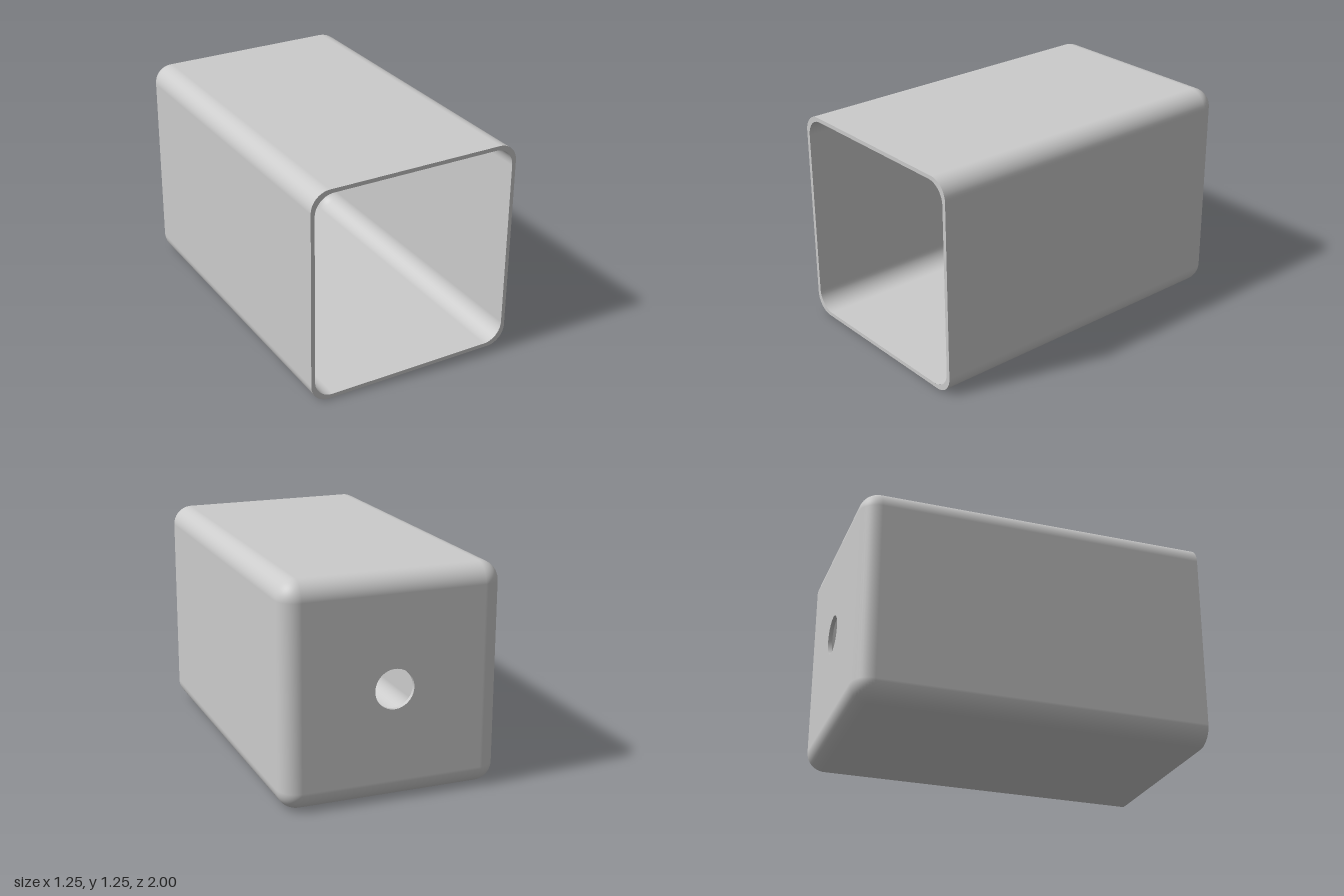
import * as THREE from 'three';

const HALF = 0.6225, WALL = 0.0225, FILLET = 0.11, HOLE = 0.111;
const FRONT = 1, BACK = -1, ARC = 12;
const material = new THREE.MeshStandardMaterial({ color: 0xcccccc });

// Rounded-square sleeve, open at the front, with a filleted edge at the back.
function sleeveGeometry(half, backZ, inward) {
  const core = half - FILLET, pos = [], nor = [], index = [];
  const rows = [{ z: FRONT, a: 0 }];
  for (let j = 0; j <= ARC; j++) {
    const a = (j / ARC) * Math.PI / 2;
    rows.push({ z: backZ + FILLET * (1 - Math.sin(a)), a });
  }
  const sign = inward ? -1 : 1;
  const count = 4 * (ARC + 1);
  for (const { z, a } of rows) {
    for (let k = 0; k < 4; k++) {
      const cx = k === 0 || k === 3 ? core : -core, cy = k < 2 ? core : -core;
      for (let i = 0; i <= ARC; i++) {
        const t = (k + i / ARC) * Math.PI / 2;
        const nx = Math.cos(t) * Math.cos(a), ny = Math.sin(t) * Math.cos(a);
        pos.push(cx + FILLET * nx, cy + FILLET * ny, z);
        nor.push(sign * nx, sign * ny, -sign * Math.sin(a));
      }
    }
  }
  for (let j = 0; j < rows.length - 1; j++) {
    for (let i = 0; i < count; i++) {
      const n = (i + 1) % count;
      const a = j * count + i, b = j * count + n, c = a + count, d = b + count;
      if (inward) index.push(a, b, c, b, d, c);
      else index.push(a, c, b, b, c, d);
    }
  }
  const g = new THREE.BufferGeometry();
  g.setAttribute('position', new THREE.Float32BufferAttribute(pos, 3));
  g.setAttribute('normal', new THREE.Float32BufferAttribute(nor, 3));
  g.setIndex(index);
  return g;
}

function roundedSquare(path, half) {
  const c = half - FILLET;
  for (let k = 0; k < 4; k++) {
    const cx = k === 0 || k === 3 ? c : -c, cy = k < 2 ? c : -c;
    path.absarc(cx, cy, FILLET, k * Math.PI / 2, (k + 1) * Math.PI / 2, false);
  }
  path.closePath();
  return path;
}

// Flat square end panel with the round hole.
function panelGeometry(half) {
  const c = half - FILLET;
  const shape = new THREE.Shape().moveTo(-c, -c).lineTo(c, -c).lineTo(c, c).lineTo(-c, c).closePath();
  shape.holes.push(new THREE.Path().absarc(0, 0, HOLE, 0, Math.PI * 2, true));
  return new THREE.ShapeGeometry(shape, 48);
}

export function createModel() {
  const group = new THREE.Group();
  group.name = 'openBox';
  const add = (name, geometry, z = 0) => {
    const mesh = new THREE.Mesh(geometry, material);
    mesh.name = name;
    mesh.position.set(0, HALF, z);
    group.add(mesh);
    return mesh;
  };
  const inner = HALF - WALL, innerBack = BACK + WALL;

  // Shell walls
  add('outerWalls', sleeveGeometry(HALF, BACK, false));
  add('innerWalls', sleeveGeometry(inner, innerBack, true));

  // Back wall, outside and inside
  add('outerBack', panelGeometry(HALF), BACK).rotation.y = Math.PI;
  add('innerBack', panelGeometry(inner), innerBack);

  // Front rim joining the two walls
  const rim = roundedSquare(new THREE.Shape(), HALF);
  rim.holes.push(roundedSquare(new THREE.Path(), inner));
  add('frontRim', new THREE.ShapeGeometry(rim, ARC), FRONT);

  // Edge of the hole through the back wall
  const bore = new THREE.CylinderGeometry(HOLE, HOLE, WALL, 96, 1, true);
  bore.rotateX(Math.PI / 2);
  const edge = add('holeEdge', bore, BACK + WALL / 2);
  edge.material = material.clone();
  edge.material.side = THREE.DoubleSide;

  return group;
}
